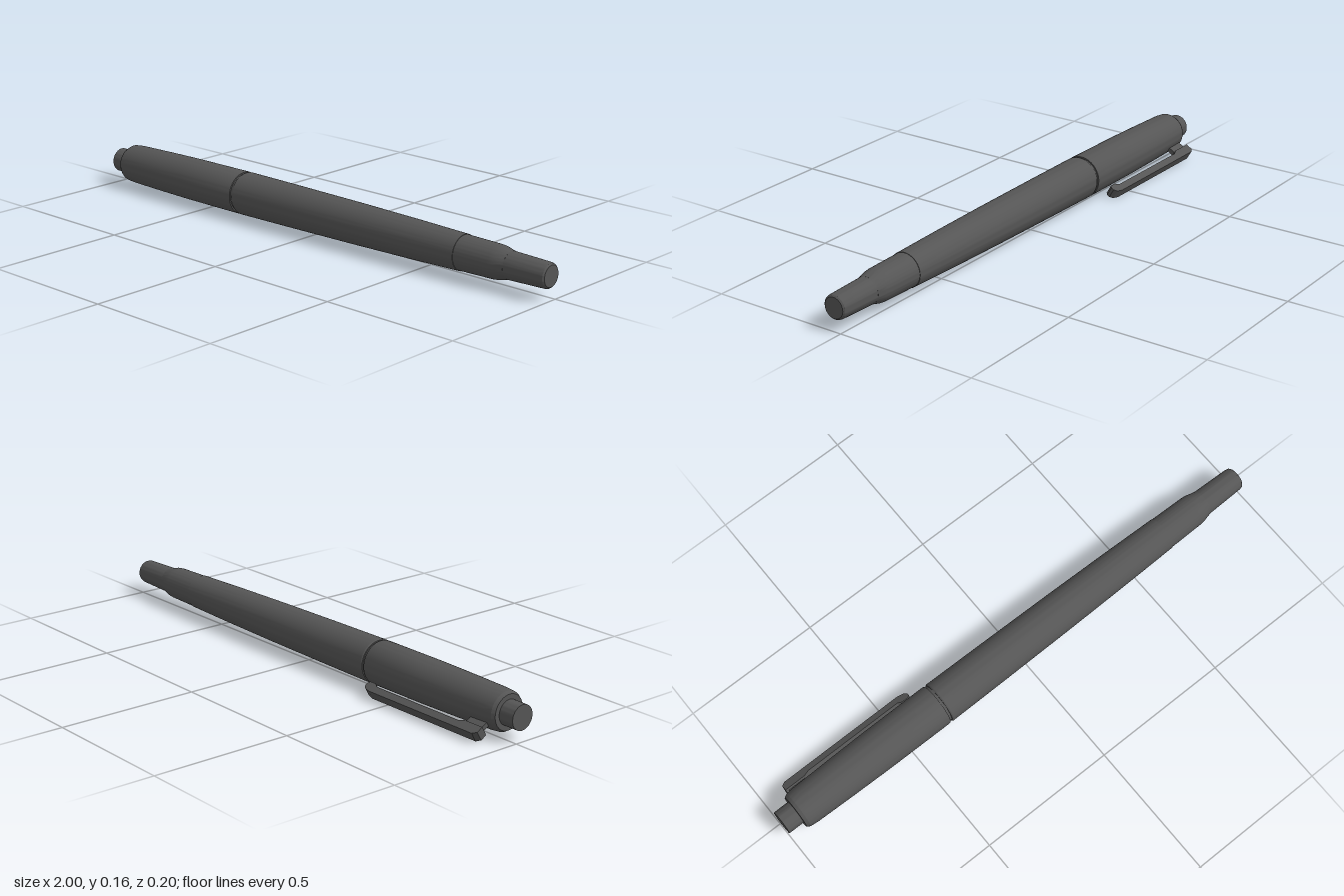
import * as THREE from 'three';
import { toCreasedNormals } from 'three/addons/utils/BufferGeometryUtils.js';

const AXIS_Y = 0.082, AXIS_Z = 0.0235;

export function createModel() {
  const model = new THREE.Group();
  model.name = 'pen';
  const graphite = new THREE.MeshStandardMaterial({ color: 0x555555 });
  graphite.name = 'graphite';

  const pen = new THREE.Group();
  pen.name = 'penAssembly';
  pen.position.set(0, AXIS_Y, AXIS_Z);
  model.add(pen);

  // Round parts: [x, radius] profiles turned about the pen's long axis
  const turned = (name, profile) => {
    const points = profile.map(([x, r]) => new THREE.Vector2(r, x));
    const geometry = new THREE.LatheGeometry(points, 64).rotateZ(-Math.PI / 2);
    const mesh = new THREE.Mesh(toCreasedNormals(geometry, 0.4), graphite);
    mesh.name = name;
    pen.add(mesh);
  };

  turned('pushButton', [[-1, 0], [-1, 0.043], [-0.93, 0.043], [-0.93, 0]]);
  turned('upperBarrel', [
    [-0.942, 0], [-0.942, 0.06], [-0.93, 0.067], [-0.9, 0.07], [-0.75, 0.0735],
    [-0.6, 0.0758], [-0.35, 0.0765], [-0.345, 0.075], [-0.345, 0],
  ]);
  turned('jointRing', [[-0.35, 0], [-0.35, 0.07], [-0.33, 0.07], [-0.33, 0]]);
  turned('lowerBarrel', [
    [-0.336, 0], [-0.336, 0.074], [-0.331, 0.0765], [-0.1, 0.0745], [0.2, 0.071],
    [0.45, 0.0665], [0.655, 0.0615], [0.655, 0],
  ]);
  turned('gripCollar', [
    [0.652, 0], [0.652, 0.06], [0.79, 0.0575], [0.81, 0.0555], [0.835, 0.049], [0.845, 0.047], [0.845, 0],
  ]);
  turned('tip', [[0.84, 0], [0.84, 0.047], [0.985, 0.043], [0.995, 0.041], [1, 0.036], [1, 0]]);

  // Clip: local y points outward from the barrel, down and to the back
  const clip = new THREE.Group();
  clip.name = 'clip';
  clip.rotation.x = -2 * Math.PI / 3;
  pen.add(clip);

  const side = (name, outline, width) => {
    const shape = new THREE.Shape(outline.map(([x, y]) => new THREE.Vector2(x, y)));
    const geometry = new THREE.ExtrudeGeometry(shape, { depth: width, bevelEnabled: false });
    const mesh = new THREE.Mesh(geometry.translate(0, 0, -width / 2), graphite);
    mesh.name = name;
    clip.add(mesh);
  };

  side('clipBar', [
    [-0.92, 0.096], [-0.84, 0.096], [-0.82, 0.105], [-0.44, 0.105], [-0.425, 0.095], [-0.4, 0.095],
    [-0.392, 0.103], [-0.392, 0.114], [-0.402, 0.125], [-0.425, 0.131], [-0.905, 0.131], [-0.92, 0.12],
  ], 0.036);
  side('clipMount', [[-0.91, 0.06], [-0.84, 0.06], [-0.84, 0.1], [-0.91, 0.1]], 0.016);

  return model;
}
